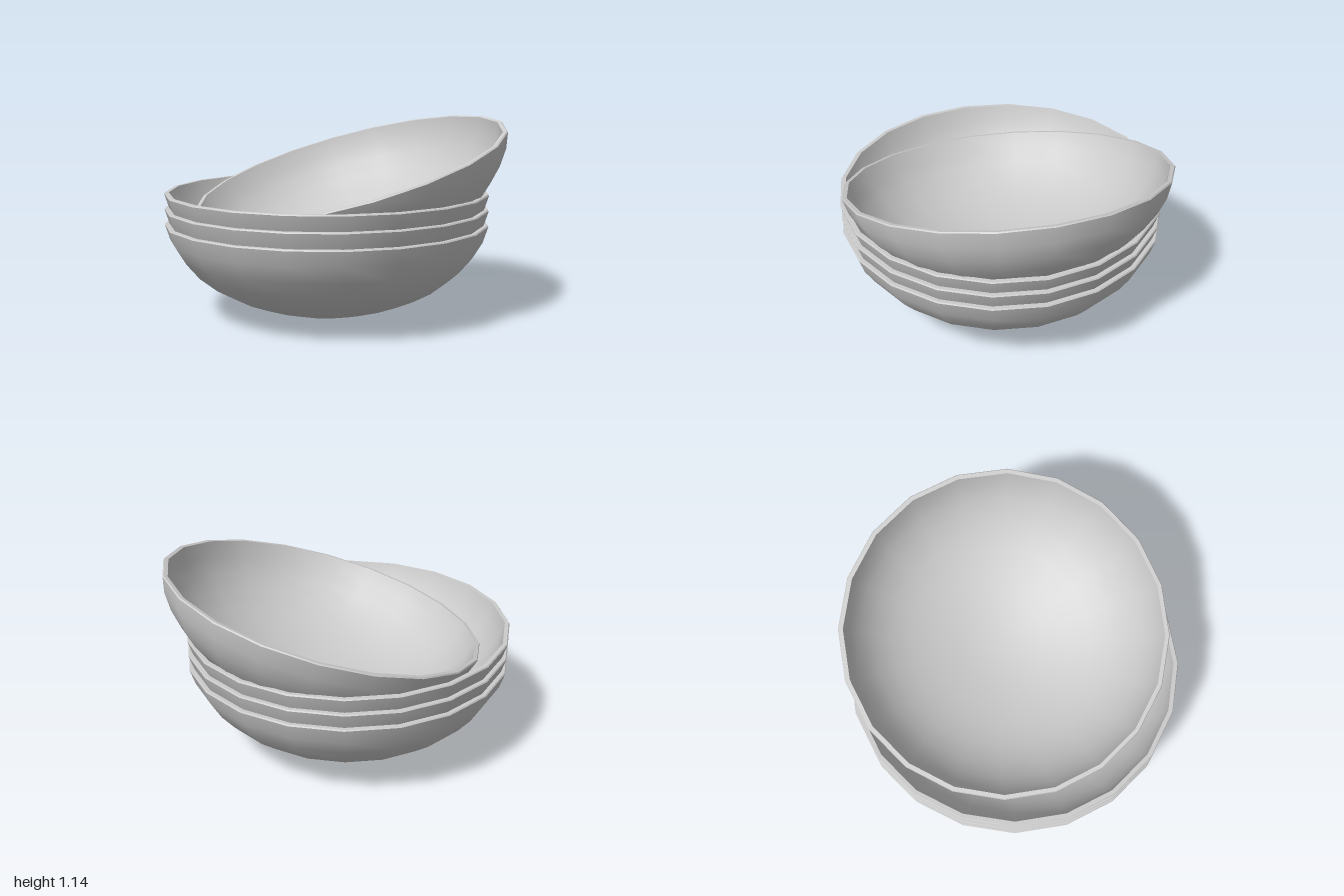
import * as THREE from 'three';
import { toCreasedNormals } from 'three/addons/utils/BufferGeometryUtils.js';

const SIDES = 20;
const HEIGHT = 0.55;
const TILT = 0.285; // lean of the top bowl, radians

// Outer wall (radius, height) from the flat foot up to the lip
const OUTER = [
  [0.145, 0], [0.29, 0.03], [0.43, 0.07], [0.56, 0.12], [0.677, 0.184],
  [0.78, 0.265], [0.857, 0.356], [0.915, 0.452], [0.945, 0.543],
];

// Inner wall, from the lip down to the floor
const INNER = [
  [0.917, HEIGHT], [0.888, 0.46], [0.831, 0.37], [0.757, 0.282], [0.657, 0.205],
  [0.545, 0.144], [0.42, 0.096], [0.284, 0.057], [0.143, 0.03],
];

function bowlGeometry() {
  const profile = [[0, 0], ...OUTER, [0.94, HEIGHT], ...INNER, [0, 0.028]];
  const points = profile.map(([r, y]) => new THREE.Vector2(r, y));
  return toCreasedNormals(new THREE.LatheGeometry(points, SIDES), 0.7);
}

export function createModel() {
  const group = new THREE.Group();
  group.name = 'bowlStack';
  const geometry = bowlGeometry();
  const material = new THREE.MeshStandardMaterial({ color: 0xcccccc });

  const addBowl = (name, x, y, tilt = 0) => {
    const bowl = new THREE.Mesh(geometry, material);
    bowl.name = name;
    bowl.position.set(x, y, 0);
    bowl.rotation.z = tilt;
    group.add(bowl);
  };

  // Three level bowls nested in each other
  ['bottomBowl', 'middleBowl', 'upperBowl'].forEach((name, i) => addBowl(name, -0.055, i * 0.09));

  // Leaning bowl on top, placed by the centre of its rim
  addBowl('tiltedBowl', 0.09 + HEIGHT * Math.sin(TILT), 0.873 - HEIGHT * Math.cos(TILT), TILT);

  return group;
}
